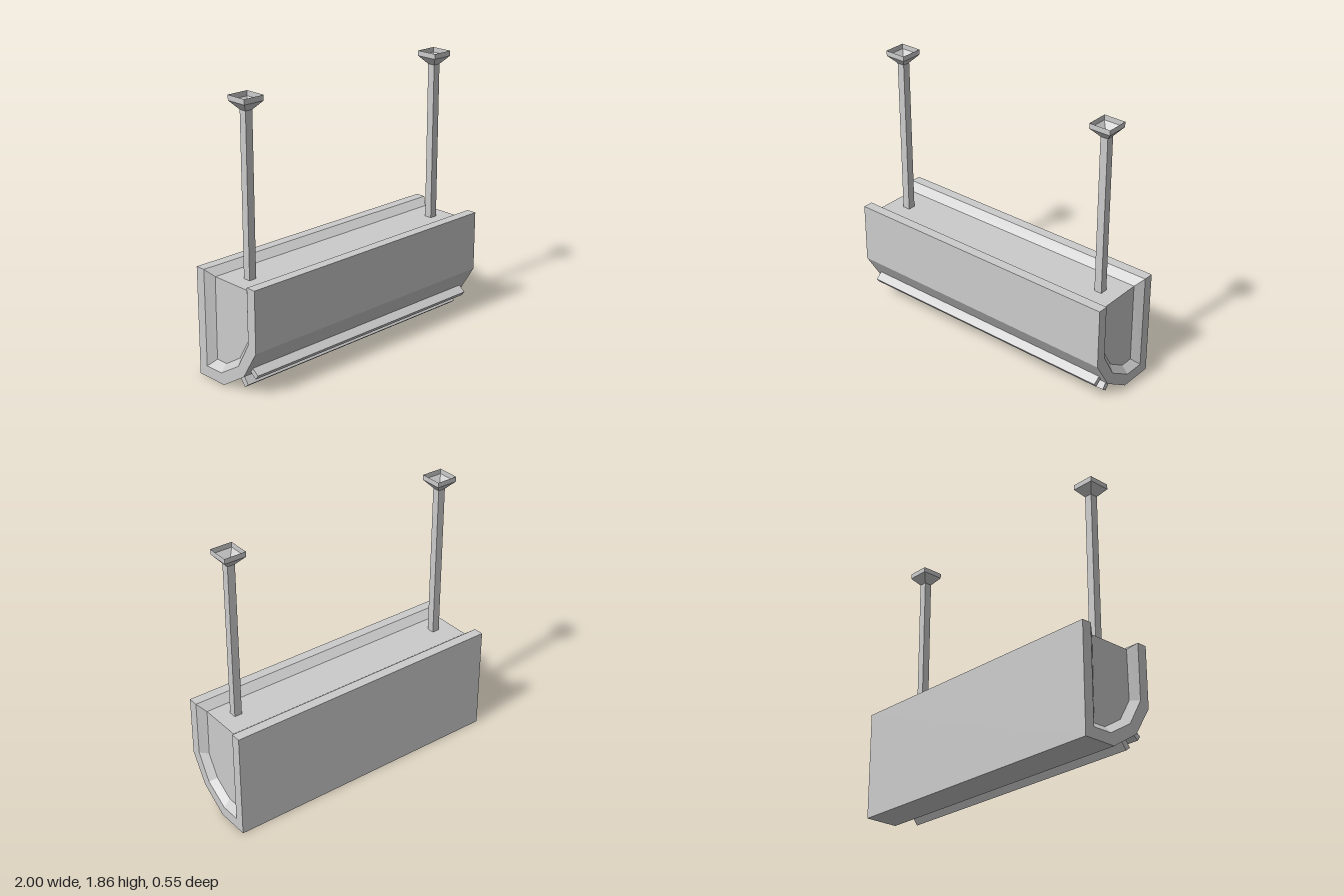
import * as THREE from 'three';

const material = new THREE.MeshStandardMaterial({ color: 0xcccccc, flatShading: true });
const thinMaterial = new THREE.MeshStandardMaterial({ color: 0xcccccc, flatShading: true, side: THREE.DoubleSide });

// Cross-sections as [z, y], running front top -> underside -> back top
const OUTER = [[0.275, 0.735], [0.275, 0.32], [0.155, 0.125], [-0.04, 0], [-0.275, 0], [-0.275, 0.735]];
const RIM = [[0.205, 0.735], [0.205, 0.355], [0.105, 0.18], [-0.065, 0.075], [-0.205, 0.075], [-0.205, 0.735]];
const CORE = [[0.15, 0.69], [0.155, 0.355], [0.07, 0.21], [-0.065, 0.125], [-0.155, 0.125], [-0.15, 0.69]];
const CORE_X = 0.955;

function addMesh(parent, name, geometry, mat = material) {
  const mesh = new THREE.Mesh(geometry, mat);
  mesh.name = name;
  parent.add(mesh);
  return mesh;
}

// Extrude a [z, y] outline along x, centred on x = 0
function extrudeAlongX(points, halfLength) {
  const shape = new THREE.Shape(points.map(([z, y]) => new THREE.Vector2(z, y)));
  const geometry = new THREE.ExtrudeGeometry(shape, { depth: halfLength * 2, bevelEnabled: false });
  geometry.translate(0, 0, -halfLength);
  geometry.rotateY(-Math.PI / 2);
  return geometry;
}

// Shell with bevelled rims around the recessed ends and top
function shellGeometry() {
  const sections = [[CORE, -CORE_X], [RIM, -1], [OUTER, -1], [OUTER, 1], [RIM, 1], [CORE, CORE_X]]
    .map(([profile, x]) => profile.map(([z, y]) => [x, y, z]));
  const positions = [];
  const quad = (a, b, c, d) => positions.push(...a, ...b, ...c, ...a, ...c, ...d);

  for (let i = 0; i < sections.length - 1; i++) {
    const s = sections[i], t = sections[i + 1];
    for (let j = 0; j < s.length - 1; j++) quad(s[j], s[j + 1], t[j + 1], t[j]);
  }
  // Top lips and the slopes down to the sunken top
  const front = sections.map((s) => s[0]);
  const back = sections.map((s) => s[5]);
  for (const [o, i] of [[2, 1], [1, 0]]) {
    quad(front[o], front[5 - o], front[5 - i], front[i]);
    quad(back[i], back[5 - i], back[5 - o], back[o]);
  }

  const geometry = new THREE.BufferGeometry();
  geometry.setAttribute('position', new THREE.Float32BufferAttribute(positions, 3));
  geometry.computeVertexNormals();
  return geometry;
}

// Square post with a flared, hollow ceiling cup
function createHanger() {
  const hanger = new THREE.Group();
  const post = addMesh(hanger, 'post', new THREE.BoxGeometry(0.053, 1.09, 0.053));
  post.position.y = 1.225;
  const cupProfile = [[0.0265, 1.77], [0.075, 1.825], [0.075, 1.86]]
    .map(([half, y]) => new THREE.Vector2(half * Math.SQRT2, y));
  const cup = new THREE.LatheGeometry(cupProfile, 4);
  cup.rotateY(Math.PI / 4);
  addMesh(hanger, 'ceilingCup', cup, thinMaterial);
  return hanger;
}

export function createModel() {
  const model = new THREE.Group();
  model.name = 'hangingFixture';

  addMesh(model, 'shell', shellGeometry());
  addMesh(model, 'core', extrudeAlongX(CORE, CORE_X));

  // Two slanted rails under the front edge
  addMesh(model, 'upperRail', extrudeAlongX(
    [[0.238, 0.145], [0.172, 0.195], [0.15, 0.165], [0.216, 0.115]], CORE_X));
  addMesh(model, 'lowerRail', extrudeAlongX(
    [[0.143, 0.05], [0.095, 0.115], [0.062, 0.09], [0.11, 0.025]], CORE_X));

  for (const [name, x] of [['leftHanger', 0.82], ['rightHanger', -0.82]]) {
    const hanger = createHanger();
    hanger.name = name;
    hanger.position.set(x, 0, 0.023);
    model.add(hanger);
  }
  return model;
}
